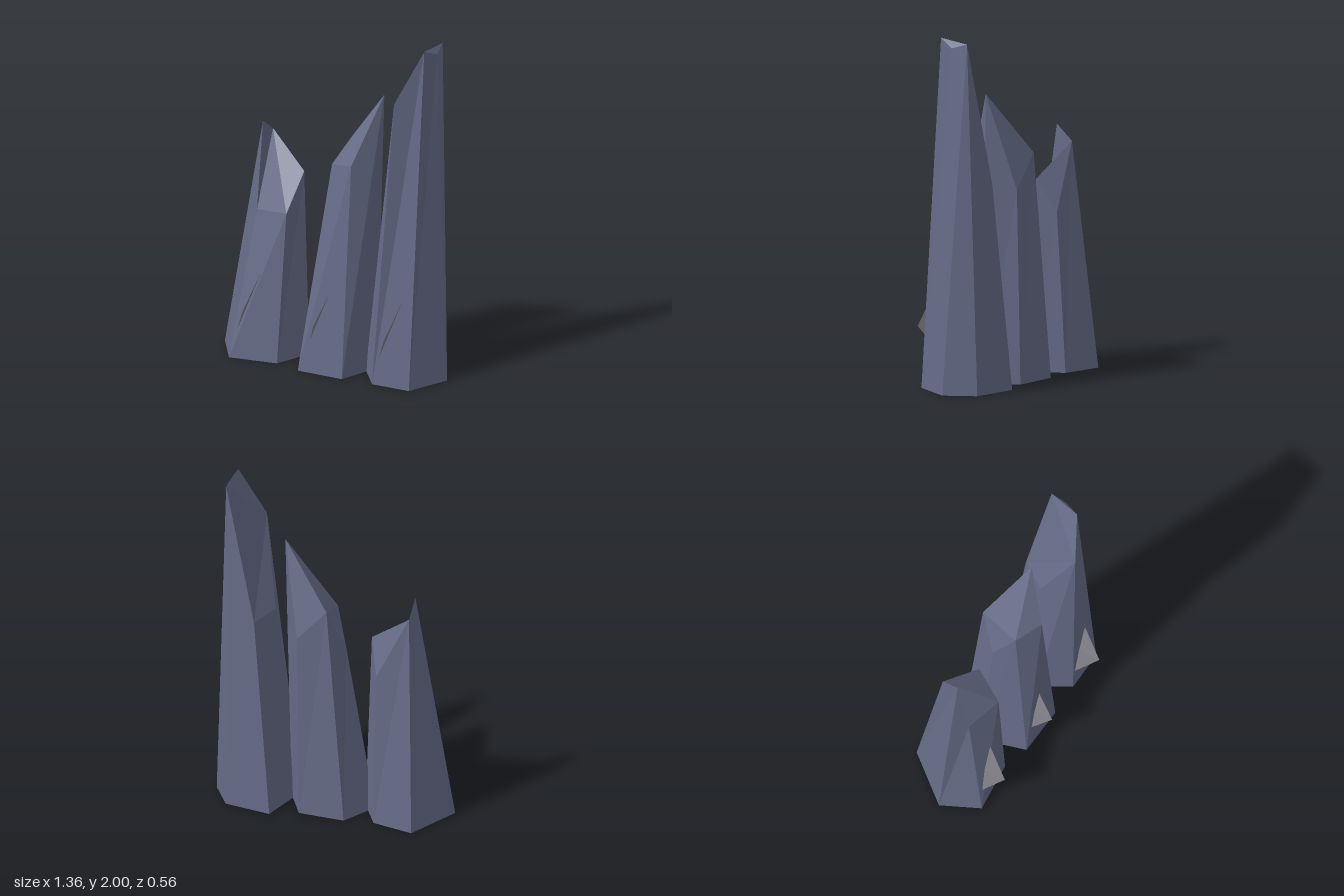
import * as THREE from 'three';

const crystalMat = new THREE.MeshStandardMaterial({ color: 0x666c88, flatShading: true });
crystalMat.name = 'slate blue crystal';
const shardMat = new THREE.MeshStandardMaterial({ color: 0x807e85, flatShading: true });
shardMat.name = 'grey shard';

// Flat faceted mesh from corner points and triangles
function facetMesh(name, points, triangles, material) {
  const geo = new THREE.BufferGeometry();
  geo.setAttribute('position', new THREE.Float32BufferAttribute(points.flat(), 3));
  geo.setIndex(triangles.flat());
  const flat = geo.toNonIndexed();
  flat.computeVertexNormals();
  const mesh = new THREE.Mesh(flat, material);
  mesh.name = name;
  return mesh;
}

// Six-sided crystal: base ring [x, z] and broken top ring [x, y, z],
// both ordered front-left, front-right, right, back-right, back-left, left on screen
function crystal(name, base, top, cap) {
  const points = [...base.map(([x, z]) => [x, 0, z]), ...top];
  const tris = [];
  for (let i = 0; i < 6; i++) {
    const j = (i + 1) % 6;
    tris.push([i, j, j + 6], [i, j + 6, i + 6]);
    if (i > 0 && i < 5) tris.push([0, i + 1, i]);
  }
  for (const t of cap) tris.push(t.map((i) => i + 6));
  return facetMesh(name, points, tris, crystalMat);
}

// Thin splinter sticking out of a crystal's front
function shard(name, x, y, s) {
  const points = [[-0.085, -0.165, 0.172], [0.05, 0.2, 0.142], [0, 0, 0.278], [-0.035, 0.03, 0.11]]
    .map(([px, py, pz]) => [x + px * s, y + py * s, pz]);
  return facetMesh(name, points, [[0, 2, 1], [0, 3, 2], [3, 1, 2], [0, 1, 3]].map(([a, b, c]) => [a, c, b]), shardMat);
}

export function createModel() {
  const group = new THREE.Group();
  group.name = 'crystalCluster';

  group.add(crystal('shortCrystal',
    [[-0.553, 0.206], [-0.276, 0.162], [-0.175, -0.036], [-0.27, -0.222], [-0.502, -0.282], [-0.68, 0.004]],
    [[-0.458, 0.855, 0.047], [-0.25, 0.885, 0.098], [-0.218, 1.09, -0.06],
      [-0.27, 0.9, -0.164], [-0.452, 1.275, -0.138], [-0.46, 1.36, -0.03]],
    [[2, 3, 4], [4, 5, 0], [0, 1, 4], [1, 2, 4]]));

  group.add(crystal('middleCrystal',
    [[-0.127, 0.2], [0.145, 0.197], [0.25, -0.03], [0.16, -0.218], [-0.103, -0.24], [-0.235, -0.05]],
    [[0, 1.21, 0.03], [0.153, 1.25, 0.098], [0.278, 1.647, -0.065],
      [0.175, 1.1, -0.205], [0.006, 1.288, -0.2], [-0.073, 1.015, -0.073]],
    [[2, 3, 4], [4, 5, 0], [0, 1, 2], [0, 2, 4]]));

  group.add(crystal('tallCrystal',
    [[0.327, 0.185], [0.553, 0.178], [0.676, -0.05], [0.58, -0.22], [0.316, -0.272], [0.205, 0.02]],
    [[0.433, 1.69, 0.122], [0.574, 2, 0.03], [0.606, 1.955, -0.065],
      [0.593, 1.985, -0.16], [0.42, 1.17, -0.21], [0.338, 1.185, -0.047]],
    [[1, 2, 3], [0, 1, 3], [0, 3, 4], [0, 4, 5]]));

  group.add(shard('shortCrystalShard', -0.435, 0.322, 1));
  group.add(shard('middleCrystalShard', 0.007, 0.322, 0.88));
  group.add(shard('tallCrystalShard', 0.447, 0.322, 1));
  return group;
}
